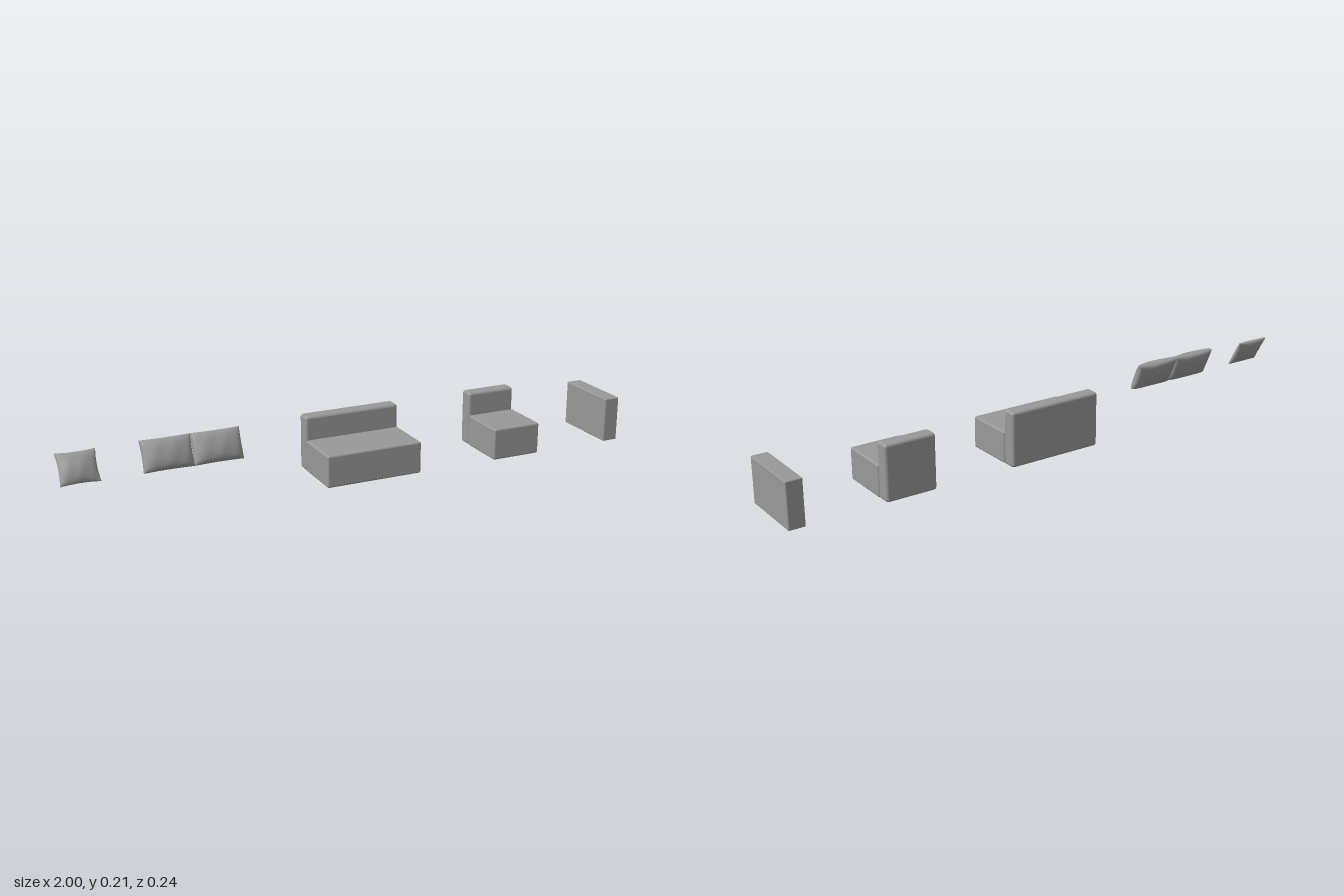
import * as THREE from 'three';
import { RoundedBoxGeometry } from 'three/addons/geometries/RoundedBoxGeometry.js';
import { mergeVertices } from 'three/addons/utils/BufferGeometryUtils.js';

// Mid-grey upholstery
const material = new THREE.MeshStandardMaterial({ color: 0x999999 });

// Padded block given by its limits on each axis; fewer segments give softer shading
function block(name, [x0, x1], [y0, y1], [z0, z1], radius, segments) {
  const mesh = new THREE.Mesh(new RoundedBoxGeometry(x1 - x0, y1 - y0, z1 - z0, segments, radius), material);
  mesh.name = name;
  mesh.position.set((x0 + x1) / 2, (y0 + y1) / 2, (z0 + z1) / 2);
  return mesh;
}

// Stuffed pillow: a box grid that swells in the middle, is pinched to its corners and slightly creased
function pillow(name, x, y, z, width, height, front, back, pinch, fullness, tilt) {
  let geo = new THREE.BoxGeometry(2, 2, 2, 16, 12, 2);
  geo.deleteAttribute('normal');
  geo.deleteAttribute('uv');
  geo = mergeVertices(geo);
  const p = geo.attributes.position;
  for (let i = 0; i < p.count; i++) {
    // ease the grid toward the seams, where the curvature is greatest
    const u = Math.sin(p.getX(i) * Math.PI / 2), v = Math.sin(p.getY(i) * Math.PI / 2), s = p.getZ(i);
    const swell = Math.pow(Math.max(0, (1 - u * u) * (1 - v * v)), fullness);
    const crease = 1 + 0.08 * Math.sin(7 * u + 3 * v) * Math.cos(5 * v - 2 * u);
    const depth = s > 0 ? front : back;
    p.setXYZ(i,
      u * width / 2 * (1 - pinch * (1 - v * v)),
      v * height / 2 * (1 - pinch * (1 - u * u)),
      s * (0.003 + depth * swell * crease));
  }
  geo.computeVertexNormals();
  const mesh = new THREE.Mesh(geo, material);
  mesh.name = name;
  mesh.position.set(x, y, z);
  mesh.rotation.x = -tilt;
  return mesh;
}

// Seat block with a taller back cushion behind it
function seatUnit(name, xs) {
  const unit = new THREE.Group();
  unit.name = name;
  unit.add(
    block('seat', xs, [0, 0.112], [-0.061, 0.119], 0.007, 2),
    block('backrest', xs, [0, 0.193], [-0.112, -0.061], 0.01, 2));
  return unit;
}

export function createModel() {
  const model = new THREE.Group();
  model.name = 'modularSofaSet';

  model.add(seatUnit('sofa', [-0.146, 0.2]), seatUnit('chair', [0.486, 0.667]));
  model.add(block('armrest', [0.943, 1], [0.003, 0.162], [-0.12, 0.122], 0.004, 3));

  // Pair of wide pillows
  const pair = new THREE.Group();
  pair.name = 'pillowPair';
  for (const x of [-0.65, -0.483])
    pair.add(pillow('widePillow', x, 0.162, -0.004, 0.168, 0.106, 0.026, 0.018, 0.03, 0.35, 0.42));
  model.add(pair);

  // Single small pillow
  model.add(pillow('smallPillow', -0.936, 0.16, -0.005, 0.128, 0.106, 0.018, 0.016, 0.07, 0.6, 0.52));
  return model;
}
